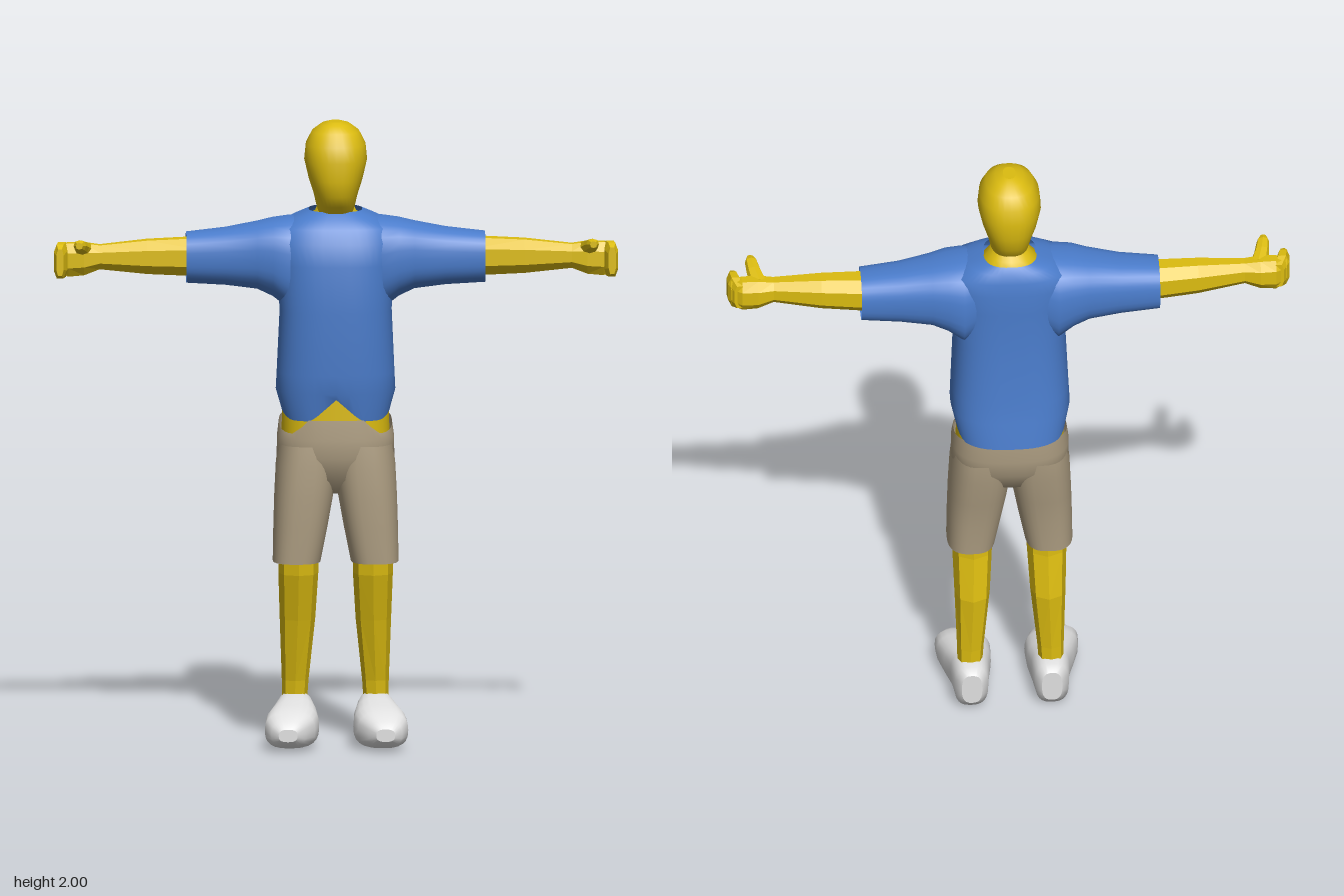
import * as THREE from 'three';
import { mergeGeometries } from 'three/addons/utils/BufferGeometryUtils.js';

const AXES = { y: ['x', 'z'], x: ['z', 'y'], z: ['y', 'x'] };

// Skin of rounded cross-sections [position, aMin, aMax, bMin, bMax] along an axis.
// power < 1 squares the sections; hem(point) shifts the ring numbered hemRing.
function loft(axis, sections, { n = 32, power = 0.8, caps = true, flat = false, hem = null, hemRing = 0, turn = 0 } = {}) {
  const [a, b] = AXES[axis];
  const rings = sections.map(([w, a0, a1, b0, b1], i) => {
    const ring = [];
    for (let j = 0; j < n; j++) {
      const t = ((j + turn) / n) * Math.PI * 2;
      const c = Math.cos(t), s = Math.sin(t);
      const p = new THREE.Vector3();
      p[axis] = w;
      p[a] = (a0 + a1) / 2 + (a1 - a0) / 2 * Math.sign(c) * Math.abs(c) ** power;
      p[b] = (b0 + b1) / 2 + (b1 - b0) / 2 * Math.sign(s) * Math.abs(s) ** power;
      if (hem && i === hemRing) p.y += hem(p);
      ring.push(p);
    }
    return ring;
  });
  const build = (points, index) => {
    const g = new THREE.BufferGeometry().setFromPoints(points);
    g.setIndex(index);
    return g;
  };
  const index = [];
  for (let i = 0; i < rings.length - 1; i++) {
    for (let j = 0; j < n; j++) {
      const k = (j + 1) % n, r = i * n, q = r + n;
      index.push(r + j, q + j, q + k, r + j, q + k, r + k);
    }
  }
  const parts = [build(rings.flat(), index)];
  if (caps) {
    [rings[0], rings.at(-1)].forEach((ring, end) => {
      const mid = ring.reduce((m, p) => m.add(p), new THREE.Vector3()).divideScalar(n);
      const fan = [];
      for (let j = 0; j < n; j++) {
        const k = (j + 1) % n;
        fan.push(n, end ? k : j, end ? j : k);
      }
      parts.push(build([...ring, mid], fan));
    });
  }
  let g = mergeGeometries(parts);
  if (flat) g = g.toNonIndexed();
  g.computeVertexNormals();
  return g;
}

// Mirrored copy across x = 0 with the winding restored
function mirrored(geometry) {
  const g = geometry.index ? geometry.toNonIndexed() : geometry.clone();
  for (const name of ['position', 'normal']) {
    const src = g.attributes[name], out = src.clone();
    for (let i = 0; i < src.count; i++) {
      const k = i % 3 === 1 ? i + 1 : i % 3 === 2 ? i - 1 : i;
      out.setXYZ(i, -src.getX(k), src.getY(k), src.getZ(k));
    }
    g.setAttribute(name, out);
  }
  return g;
}

export function createModel() {
  const model = new THREE.Group();
  const material = (name, color, side = THREE.FrontSide) => {
    const m = new THREE.MeshStandardMaterial({ color, side });
    m.name = name;
    return m;
  };
  const skin = material('yellow skin', 0xdcbc10);
  const blue = material('blue cloth', 0x4a7ccb, THREE.DoubleSide);
  const tan = material('tan cloth', 0xb0a084, THREE.DoubleSide);
  const white = material('white shoe', 0xe0e0e0);

  const add = (name, geometry, mat) => {
    const mesh = new THREE.Mesh(geometry, mat);
    mesh.name = name;
    model.add(mesh);
  };
  const pair = (name, geometry, mat) => {
    add(name + 'Left', geometry, mat);
    add(name + 'Right', mirrored(geometry), mat);
  };

  // Head and neck
  add('head', loft('y', [
    [1.71, -0.055, 0.055, -0.065, 0.06], [1.735, -0.062, 0.062, -0.085, 0.085],
    [1.77, -0.07, 0.07, -0.108, 0.112], [1.82, -0.086, 0.086, -0.123, 0.122],
    [1.88, -0.1, 0.1, -0.128, 0.125], [1.93, -0.095, 0.095, -0.12, 0.118],
    [1.97, -0.075, 0.075, -0.098, 0.092], [1.992, -0.045, 0.045, -0.07, 0.062],
    [2.0, -0.02, 0.02, -0.035, 0.03],
  ], { power: 0.85 }), skin);
  add('neck', loft('y', [
    [1.62, -0.12, 0.12, -0.13, 0.07], [1.695, -0.09, 0.09, -0.122, 0.05],
    [1.71, -0.066, 0.066, -0.09, 0.05], [1.75, -0.05, 0.05, -0.06, 0.045],
  ], { n: 16, power: 0.9 }), skin);

  // Shirt with a front notch and raised side hems
  const shirtHem = (p) => {
    const front = p.z > 0 ? 0.07 * Math.max(0, 1 - Math.abs(p.x) / 0.08) : 0;
    const side = Math.abs(p.x) > 0.08 ? 0.045 * Math.max(0, 1 - Math.abs(p.z + 0.03) / 0.11) : 0;
    return front + side;
  };
  add('shirtBody', loft('y', [
    [1.052, -0.175, 0.175, -0.192, 0.122], [1.14, -0.19, 0.19, -0.18, 0.135],
    [1.2, -0.187, 0.187, -0.17, 0.142], [1.4, -0.178, 0.178, -0.153, 0.152],
    [1.55, -0.19, 0.19, -0.155, 0.148], [1.62, -0.205, 0.205, -0.154, 0.132],
    [1.665, -0.19, 0.19, -0.148, 0.108], [1.695, -0.135, 0.135, -0.138, 0.08],
    [1.715, -0.085, 0.085, -0.122, 0.052],
  ], { n: 48, power: 0.75, caps: false, hem: shirtHem }), blue);
  pair('sleeve', loft('x', [
    [0.06, -0.13, 0.09, 1.46, 1.7], [0.15, -0.147, 0.115, 1.4, 1.695],
    [0.2, -0.14, 0.11, 1.44, 1.688], [0.25, -0.128, 0.093, 1.463, 1.676],
    [0.35, -0.11, 0.073, 1.475, 1.657], [0.475, -0.095, 0.062, 1.482, 1.643],
  ], { caps: false }), blue);

  // Skin showing between shirt and shorts
  add('hips', loft('y', [
    [0.98, -0.172, 0.172, -0.165, 0.115], [1.06, -0.17, 0.17, -0.172, 0.116],
    [1.15, -0.165, 0.165, -0.16, 0.118],
  ], { power: 0.75 }), skin);

  // Shorts
  const waistDip = (p) => Math.abs(p.x) > 0.1 && p.z > -0.13
    ? -0.045 * Math.min(1, (p.z + 0.13) / 0.2) * Math.min(1, Math.max(0, (0.12 - p.z) / 0.03)) : 0;
  add('shortsWaist', loft('y', [
    [0.81, -0.06, 0.06, -0.05, 0.04], [0.86, -0.15, 0.15, -0.13, 0.095],
    [0.93, -0.187, 0.187, -0.17, 0.12], [0.99, -0.186, 0.186, -0.18, 0.124],
    [1.055, -0.18, 0.18, -0.182, 0.122],
  ], { n: 48, power: 0.75, caps: false, hem: waistDip, hemRing: 4 }), tan);
  pair('shortsLeg', loft('y', [
    [0.59, 0.048, 0.2, -0.11, 0.1], [0.7, 0.026, 0.198, -0.122, 0.11],
    [0.8, 0.008, 0.195, -0.142, 0.117], [0.9, -0.004, 0.19, -0.165, 0.121],
    [0.97, 0.0, 0.182, -0.172, 0.118],
  ], { power: 0.75, caps: false }), tan);

  // Faceted lower legs
  pair('lowerLeg', loft('y', [
    [0.1, 0.092, 0.168, -0.1, -0.02], [0.2, 0.085, 0.17, -0.1, -0.01],
    [0.4, 0.064, 0.177, -0.11, 0.036], [0.55, 0.055, 0.182, -0.085, 0.075],
    [0.68, 0.055, 0.182, -0.08, 0.085],
  ], { n: 8, power: 0.9, flat: true }), skin);

  // Shoes
  pair('shoe', loft('z', [
    [-0.14, 0.03, 0.135, 0.095, 0.16], [-0.12, 0.008, 0.157, 0.075, 0.182],
    [-0.04, 0.0, 0.163, 0.066, 0.19], [0.02, 0.0, 0.15, 0.057, 0.207],
    [0.09, 0.0, 0.138, 0.054, 0.225], [0.14, 0.006, 0.122, 0.068, 0.228],
    [0.18, 0.016, 0.098, 0.1, 0.208], [0.2, 0.035, 0.075, 0.125, 0.185],
  ], { n: 24, power: 0.75 }), white);

  // Faceted forearms running into the palms
  pair('forearm', loft('x', [
    [0.42, -0.075, 0.05, 1.5, 1.632], [0.6, -0.052, 0.052, 1.51, 1.625],
    [0.75, -0.022, 0.05, 1.528, 1.61], [0.8, -0.03, 0.055, 1.508, 1.618],
    [0.85, -0.025, 0.05, 1.503, 1.618], [0.885, 0.0, 0.04, 1.515, 1.61],
  ], { n: 8, power: 0.9, flat: true, turn: 0.5 }), skin);

  // Curled fingers and thumb
  pair('fingers', loft('z', [
    [-0.012, 1.518, 1.606, 0.84, 0.876], [0.02, 1.503, 1.62, 0.845, 0.895],
    [0.055, 1.503, 1.618, 0.855, 0.898], [0.08, 1.515, 1.605, 0.865, 0.89],
  ], { n: 8, power: 0.7, flat: true, turn: 0.5 }), skin);
  pair('thumb', loft('z', [
    [0.01, 1.56, 1.615, 0.765, 0.825], [0.06, 1.585, 1.628, 0.785, 0.832],
    [0.1, 1.598, 1.635, 0.795, 0.835], [0.122, 1.608, 1.63, 0.806, 0.828],
  ], { n: 8, power: 0.85, flat: true }), skin);

  return model;
}
